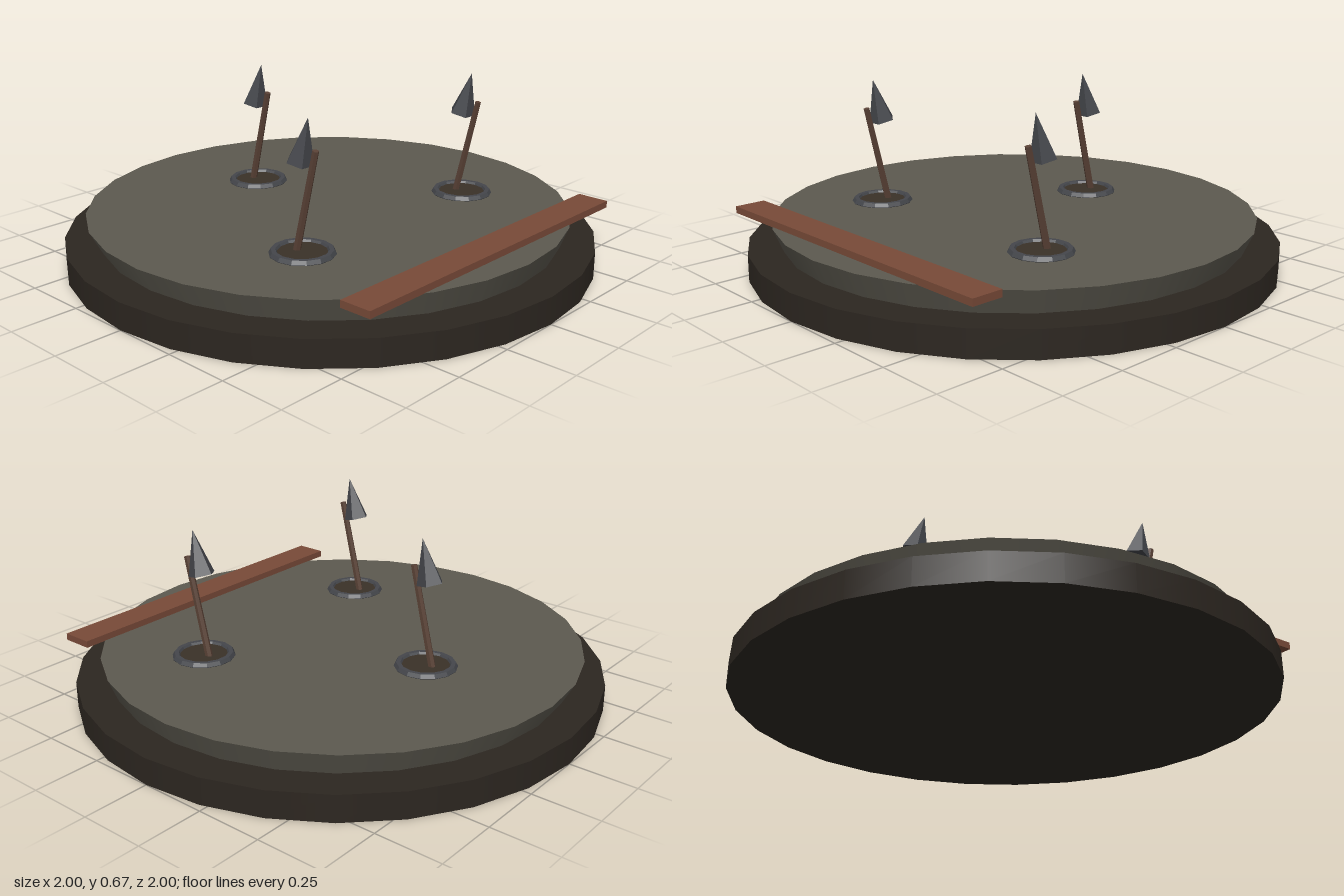
import * as THREE from 'three';

const mat = (color, flatShading = true) => {
  const m = new THREE.MeshStandardMaterial({ flatShading });
  m.color.set(color);
  return m;
};
const WOOD = mat(0x5a4236);
const IRON = mat(0x44464b);
const PIT = mat(0x3a3128);

function add(parent, name, geometry, material, x = 0, y = 0, z = 0) {
  const mesh = new THREE.Mesh(geometry, material);
  mesh.name = name;
  mesh.position.set(x, y, z);
  parent.add(mesh);
  return mesh;
}

// Leaning spear rising from a ringed hole
function spearTrap(x, z) {
  const trap = new THREE.Group();
  trap.name = 'spearTrap';
  trap.position.set(x, 0, z);
  const tilt = 0.24;

  add(trap, 'hole', new THREE.CylinderGeometry(0.095, 0.095, 0.015, 14), PIT, 0, 0.188, 0);
  add(trap, 'rim', new THREE.TorusGeometry(0.101, 0.016, 6, 14).rotateX(Math.PI / 2), IRON, 0, 0.19, 0);

  const shaft = add(trap, 'shaft', new THREE.CylinderGeometry(0.012, 0.014, 0.385, 6), WOOD, 0, 0.376, 0.018);
  shaft.rotation.x = tilt;

  // Five-sided point with one corner toward the back
  const head = add(trap, 'spearHead',
    new THREE.ConeGeometry(0.05, 0.165, 5).rotateY(Math.PI), IRON, 0, 0.589, 0.01);
  head.rotation.x = tilt;
  return trap;
}

export function createModel() {
  const model = new THREE.Group();
  model.name = 'spearTrapPlate';

  add(model, 'base', new THREE.CylinderGeometry(1, 1, 0.1, 28), mat(0x2c2620, false), 0, 0.05, 0);

  // Flared plate, its upper rim a little off centre
  const plateGeo = new THREE.CylinderGeometry(0.912, 0.87, 0.09, 28);
  const p = plateGeo.attributes.position;
  for (let i = 0; i < p.count; i++) {
    if (p.getY(i) > 0) p.setXYZ(i, p.getX(i) - 0.004, p.getY(i), p.getZ(i) - 0.006);
  }
  add(model, 'plate', plateGeo, mat(0x5c594f, false), 0, 0.143, 0);

  // Trigger plank across the front
  add(model, 'plank', new THREE.BoxGeometry(1.356, 0.026, 0.12), mat(0x784a38), -0.002, 0.2, 0.74);

  for (const [x, z] of [[-0.445, 0.29], [0.445, 0.29], [0, -0.4]]) model.add(spearTrap(x, z));
  return model;
}
